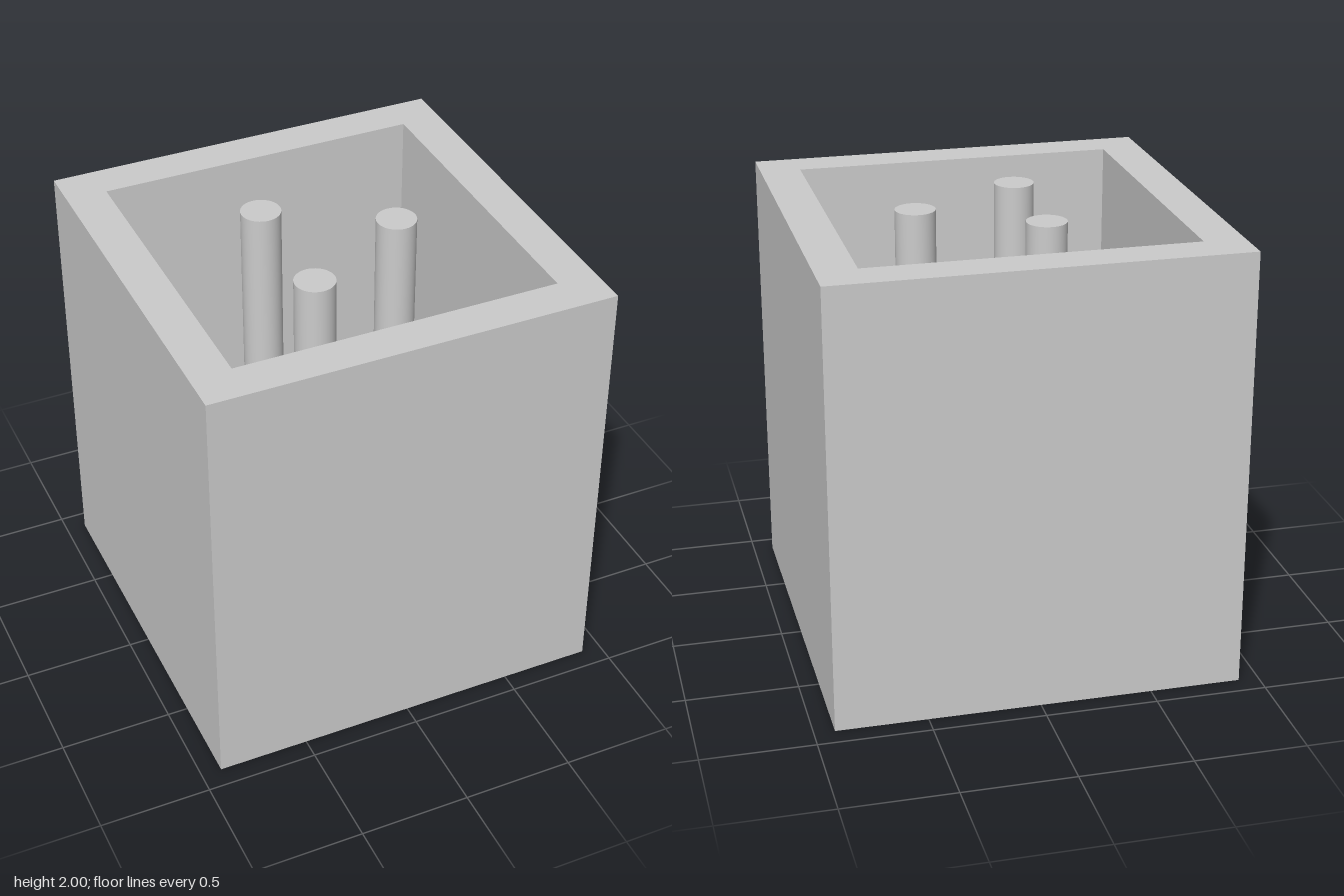
import * as THREE from 'three';

const SIZE = 1.818, HEIGHT = 2, WALL = 0.182, FLOOR = 0.182;
const PIN_RADIUS = 0.09;
const PINS = [[0.34, 0], [-0.17, -0.3], [-0.177, 0.293]]; // x, z

const material = new THREE.MeshStandardMaterial({ color: 0xcccccc });

function addMesh(parent, name, geometry, x = 0, y = 0, z = 0) {
  const mesh = new THREE.Mesh(geometry, material);
  mesh.name = name;
  mesh.position.set(x, y, z);
  parent.add(mesh);
  return mesh;
}

// Square outline centred on the origin
function square(PathType, size) {
  const h = size / 2;
  return new PathType([[-h, -h], [h, -h], [h, h], [-h, h]].map(([x, y]) => new THREE.Vector2(x, y)));
}

export function createModel() {
  const model = new THREE.Group();
  model.name = 'pinSocket';
  const inner = SIZE - 2 * WALL;

  // Square tube forming the four walls
  const outline = square(THREE.Shape, SIZE);
  outline.holes.push(square(THREE.Path, inner));
  const walls = new THREE.ExtrudeGeometry(outline, { depth: HEIGHT, bevelEnabled: false });
  walls.rotateX(-Math.PI / 2);
  addMesh(model, 'housingWalls', walls);

  // Floor closing the bottom of the tube
  addMesh(model, 'housingFloor', new THREE.BoxGeometry(inner, FLOOR, inner), 0, FLOOR / 2, 0);

  // Three round pins rising from the floor to the rim
  const length = HEIGHT - FLOOR;
  const pin = new THREE.CylinderGeometry(PIN_RADIUS, PIN_RADIUS, length, 40);
  PINS.forEach(([x, z], i) => addMesh(model, `contactPin${i + 1}`, pin, x, FLOOR + length / 2, z));

  return model;
}
